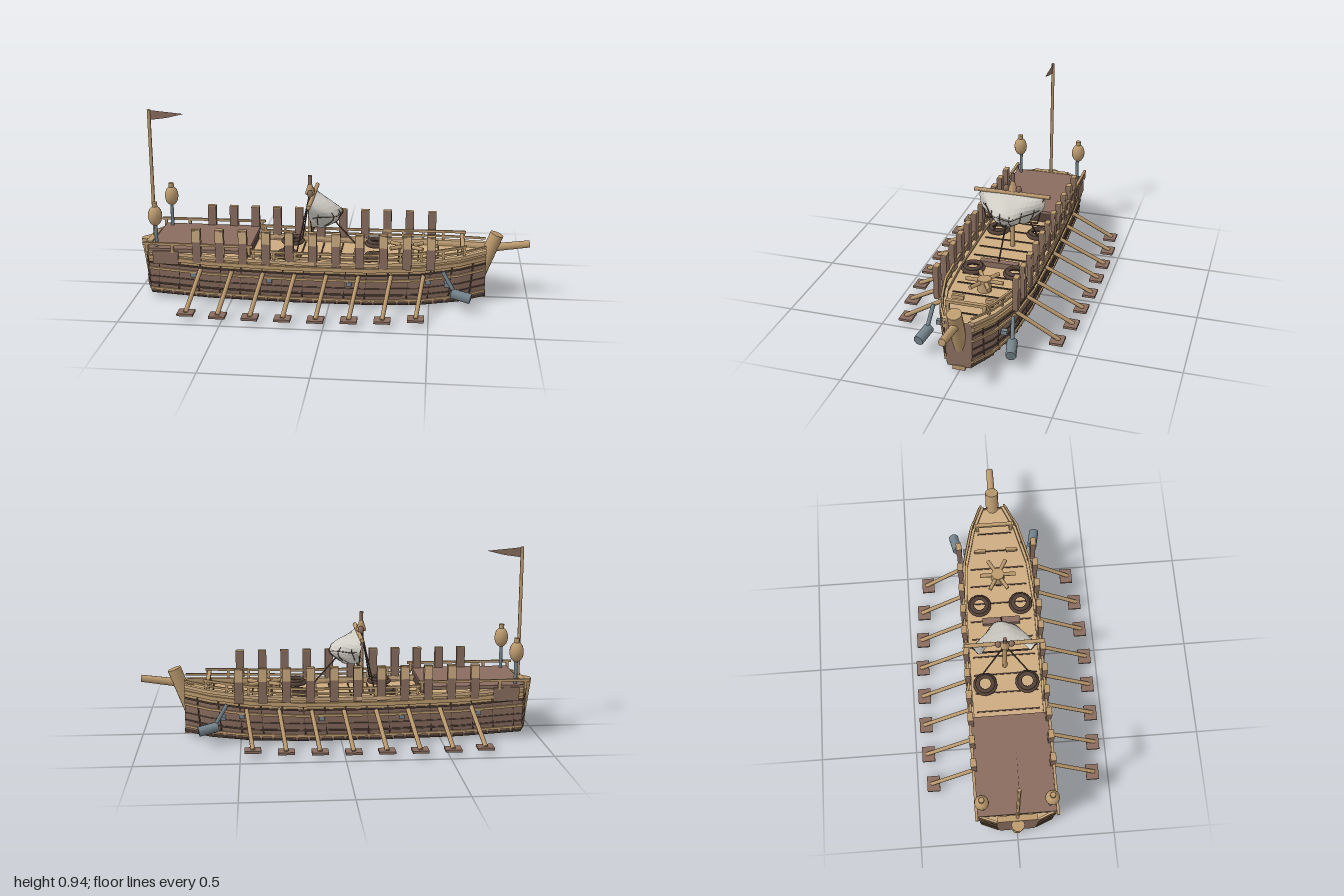
import * as THREE from 'three';

const paint = (name, color, side = THREE.FrontSide) => Object.assign(new THREE.MeshStandardMaterial({ color, side }), { name });

export function createModel() {
  const tan = paint('tanWood', 0xbb9a6e), deckWood = paint('deckWood', 0xccab80);
  const brown = paint('brownWood', 0x896c5e), dark = paint('darkWood', 0x55433a);
  const steel = paint('steel', 0x75848d), cloth = paint('sailCloth', 0xcfccc4, THREE.DoubleSide);
  const flagCloth = paint('pennantCloth', 0x896c5e, THREE.DoubleSide);
  const ship = new THREE.Group();
  ship.name = 'galley';
  const V = (x, y, z) => new THREE.Vector3(x, y, z);

  function add(name, geo, mat, x = 0, y = 0, z = 0) {
    const m = new THREE.Mesh(geo, mat);
    m.name = name;
    m.position.set(x, y, z);
    ship.add(m);
    return m;
  }
  const box = (name, mat, w, h, d, x, y, z) => add(name, new THREE.BoxGeometry(w, h, d), mat, x, y, z);
  // straight round bar between two points
  function rod(name, mat, a, b, r, r2 = r, sides = 8) {
    const d = b.clone().sub(a);
    const m = add(name, new THREE.CylinderGeometry(r2, r, d.length(), sides), mat);
    m.position.copy(a).addScaledVector(d, 0.5);
    m.quaternion.setFromUnitVectors(V(0, 1, 0), d.normalize());
    return m;
  }
  // skin a list of closed rings; slots gives the material index of each ring edge
  function loft(rings, slots, capSlot = 0) {
    const pos = [], bySlot = {};
    const tri = (s, ...p) => (bySlot[s] ??= []).push(...p);
    const n = rings[0].length;
    for (let i = 0; i < rings.length - 1; i++)
      for (let j = 0; j < n; j++) {
        const k = (j + 1) % n, a = rings[i][j], b = rings[i][k], c = rings[i + 1][k], d = rings[i + 1][j];
        tri(slots ? slots[j] : 0, a, b, c, a, c, d);
      }
    const first = rings[0], last = rings[rings.length - 1];
    for (let j = 1; j < n - 1; j++) {
      tri(capSlot, first[0], first[j + 1], first[j]);
      tri(capSlot, last[0], last[j], last[j + 1]);
    }
    const geo = new THREE.BufferGeometry();
    for (const s in bySlot) {
      geo.addGroup(pos.length / 3, bySlot[s].length, +s);
      bySlot[s].forEach(p => pos.push(p.x, p.y, p.z));
    }
    geo.setAttribute('position', new THREE.Float32BufferAttribute(pos, 3));
    geo.computeVertexNormals();
    return geo;
  }

  // hull stations: x, half width, keel height, sheer height
  const stations = [
    [-0.95, 0.1, 0.03, 0.262], [-0.915, 0.188, 0.022, 0.258], [-0.6, 0.198, 0.006, 0.235], [-0.2, 0.203, 0, 0.225],
    [0.2, 0.2, 0, 0.225], [0.45, 0.18, 0.004, 0.235], [0.65, 0.127, 0.013, 0.252], [0.78, 0.066, 0.027, 0.268]];
  const profile = [[0, 0.85], [0.08, 0.925], [0.4, 0.975], [0.75, 1], [1, 0.98]];
  const sample = (rows, v) => {
    let i = 0;
    while (i < rows.length - 2 && rows[i + 1][0] < v) i++;
    const f = (v - rows[i][0]) / (rows[i + 1][0] - rows[i][0]);
    return rows[i].map((q, k) => q + (rows[i + 1][k] - q) * f);
  };
  const side = (x, t) => {
    const [, w, lo, hi] = sample(stations, x);
    return V(x, lo + (hi - lo) * t, w * sample(profile, Math.min(t, 1))[1]);
  };
  const mirror = p => V(p.x, p.y, -p.z);
  const deckRow = 0.9;

  // hull shell with open-topped bulwark, deck and a hollow along the bottom that closes at both ends
  add('hull', loft(stations.map(([x, w, lo]) => {
    const half = [1, 0.76, 0.4, 0.08, 0].map(t => side(x, t));
    half.push(V(x, lo, w * 0.35), V(x, lo + (w > 0.11 ? 0.08 : 0), w * 0.3));
    const inner = side(x, 1), low = side(x, deckRow);
    inner.z -= 0.014; low.z -= 0.014;
    return [...half, ...half.map(mirror).reverse(), mirror(inner), mirror(low), low, inner];
  }), [0, 1, 1, 2, 2, 2, 1, 2, 2, 2, 1, 1, 0, 0, 0, 3, 0, 0], 1), [tan, brown, dark, deckWood]);

  // long timbers that follow the hull side
  function strake(name, mat, t, h, out, x0 = -0.95, x1 = 0.78, inset = 0.01) {
    const xs = [x0, ...stations.map(s => s[0]).filter(x => x > x0 && x < x1), x1];
    const rings = xs.map(x => {
      const p = side(x, t);
      return [[h, out], [-h, out], [-h, -inset], [h, -inset]].map(([dy, dz]) => V(x, p.y + dy, p.z + dz));
    });
    add(name, loft(rings), [mat]);
    add(name, loft(rings.map(r => r.map(mirror).reverse())), [mat]);
  }
  strake('bilgeWale', tan, 0.14, 0.006, 0.008);
  strake('lowerWale', dark, 0.27, 0.004, 0.006);
  strake('middleWale', dark, 0.43, 0.003, 0.005);
  strake('oarWale', tan, 0.62, 0.006, 0.009);
  strake('upperWale', dark, 0.75, 0.004, 0.007);
  strake('sheerWale', tan, 0.87, 0.01, 0.011);
  strake('gunwale', deckWood, 1, 0.008, 0.012, -0.95, 0.78, 0.018);
  strake('middleRail', tan, 1.11, 0.005, 0.004, -0.4, 0.78, 0.006);
  strake('handRail', tan, 1.22, 0.006, 0.004, -0.4, 0.68, 0.008);
  box('bowFoot', tan, 0.02, 0.022, 0.06, 0.775, 0.022, 0);

  for (const s of [1, -1]) {
    // rail stanchions, hull ribs, bilge ribs and inner frames
    for (let i = 0; i < 11; i++) {
      const x = -0.38 + i * 0.105, p = side(x, 1);
      box('stanchion', tan, 0.012, 0.05, 0.01, x, p.y + 0.025, s * (p.z - 0.002));
    }
    for (let i = 0; i < 16; i++) {
      const x = -0.86 + i * 0.105, a = side(x - 0.015, 0.1), b = side(x, 0.85);
      rod('rib', dark, V(a.x, a.y, s * a.z), V(b.x, b.y, s * b.z), 0.005, 0.005, 4);
    }
    for (let i = 0; i < 27; i++) {
      const x = -0.86 + i * 0.06, p = side(x, 0.08), [, w, lo] = sample(stations, x);
      box('bilgeRib', brown, 0.012, 0.02, 0.008, x, p.y, s * p.z);
      if (x < 0.6) rod('innerFrame', tan, V(x, lo + 0.006, s * w * 0.345), V(x, lo + 0.078, s * w * 0.3), 0.006, 0.006, 4);
    }
    // upright shield posts
    for (let i = 0; i < 11; i++) {
      const x = -0.665 + i * 0.117;
      box('shieldPost', brown, 0.043, 0.172, 0.026, x, 0.296, s * 0.197);
      box('shieldPostPlate', deckWood, 0.041, 0.06, 0.004, x, 0.35, s * 0.211);
      box('shieldPostCap', tan, 0.043, 0.004, 0.026, x, 0.384, s * 0.197);
    }
    // oars with flat blades
    [0.417, 0.435, 0.44, 0.44, 0.44, 0.43, 0.417, 0.385].forEach((z, i) => {
      const x = -0.68 + i * 0.16;
      rod('oar', tan, V(x + 0.03, 0.172, s * 0.185), V(x, 0.032, s * (z + 0.01)), 0.011, 0.011, 6);
      box('oarBlade', brown, 0.08, 0.012, 0.066, x, 0.027, s * z);
    });
    // metal port plates
    for (const x of [-0.687, -0.3, 0.1, 0.495]) {
      const p = side(x, 0.55);
      box('portPlate', steel, 0.027, 0.022, 0.01, x, p.y, s * (p.z + 0.006));
    }
    // hanging bow anchors
    rod('anchorShank', steel, V(0.565, 0.205, s * 0.198), V(0.63, 0.095, s * 0.213), 0.01);
    rod('anchorWeight', steel, V(0.61, 0.097, s * 0.208), V(0.705, 0.078, s * 0.228), 0.026, 0.026, 8);
    box('anchorBracket', steel, 0.025, 0.022, 0.03, 0.585, 0.125, s * 0.162);
    // stern lanterns
    rod('lanternPole', steel, V(-0.877, 0.25, s * 0.168), V(-0.877, 0.4, s * 0.168), 0.009);
    add('lantern', new THREE.SphereGeometry(0.036, 14, 10), tan, -0.877, 0.44, s * 0.172).scale.y = 1.45;
    rod('lanternCap', tan, V(-0.877, 0.485, s * 0.172), V(-0.877, 0.51, s * 0.172), 0.014);
    // stern rails and side lockers
    box('sternRail', tan, 0.56, 0.012, 0.014, -0.66, 0.302, s * 0.202);
    for (const x of [-0.92, -0.79, -0.53, -0.4]) box('sternRailPost', tan, 0.014, 0.045, 0.012, x, 0.28, s * 0.202);
    box('sternLocker', brown, 0.13, 0.07, 0.02, -0.825, 0.23, s * 0.197);
    // coiled ropes on deck
    for (const x of [-0.22, 0.22])
      for (let k = 0; k < 2; k++)
        add('ropeCoil', new THREE.TorusGeometry(0.052 - k * 0.012, 0.011, 6, 18), dark, x, 0.232 + k * 0.012, s * 0.11).rotation.x = Math.PI / 2;
    // mast shrouds and head blocks
    rod('shroud', dark, V(-0.115, 0.53, 0), V(-0.17, 0.25, s * 0.12), 0.004, 0.004, 5);
    add('mastBlock', new THREE.SphereGeometry(0.016, 8, 6), brown, -0.11, 0.533, s * 0.034).scale.y = 1.35;
    rod('yardLine', dark, V(-0.1, 0.51, s * 0.17), V(-0.09, 0.365, s * 0.14), 0.003, 0.003, 5);
    box('foreCleat', tan, 0.016, 0.02, 0.06, 0.53, 0.245, s * 0.085);
    box('bowBeamPost', tan, 0.016, 0.06, 0.016, 0.66, 0.265, s * 0.09);
  }

  // raised stern platform
  box('sternPlatform', brown, 0.51, 0.018, 0.4, -0.66, 0.268, 0);
  box('platformFront', dark, 0.012, 0.06, 0.36, -0.42, 0.23, 0);
  box('sternBeam', tan, 0.03, 0.03, 0.2, -0.935, 0.262, 0);
  rod('sternPost', tan, V(-0.94, 0.01, 0), V(-0.967, 0.265, 0), 0.028, 0.034, 10);

  // deck seams, hatch and bow cross rail
  for (let i = 0; i < 11; i++) {
    const x = -0.36 + i * 0.1, p = side(x, deckRow);
    box('deckSeam', dark, 0.007, 0.008, 2 * p.z - 0.07, x, p.y + 0.001, 0);
  }
  box('hatch', brown, 0.035, 0.03, 0.2, 0.13, 0.22, 0);
  box('bowBeam', tan, 0.02, 0.014, 0.2, 0.66, 0.296, 0);

  // capstan with six bars
  rod('capstan', tan, V(0.38, 0.2, 0), V(0.38, 0.275, 0), 0.036, 0.034, 12);
  for (let i = 0; i < 6; i++) {
    const a = i * Math.PI / 3 + 0.52;
    rod('capstanBar', tan, V(0.38, 0.262, 0), V(0.38 + 0.095 * Math.cos(a), 0.262, 0.095 * Math.sin(a)), 0.011, 0.011, 6);
  }

  // bow stem and bowsprit
  rod('stemPost', tan, V(0.748, 0.12, 0), V(0.832, 0.342, 0), 0.035, 0.035, 12);
  rod('bowsprit', tan, V(0.78, 0.265, 0), V(0.998, 0.295, 0), 0.021, 0.018, 10);

  // mast, yard and rigging
  rod('mast', tan, V(-0.115, 0.2, 0), V(-0.115, 0.57, 0), 0.013, 0.011);
  rod('mastCollar', tan, V(-0.115, 0.525, 0), V(-0.115, 0.575, 0), 0.026, 0.011);
  rod('mastHead', brown, V(-0.115, 0.56, 0), V(-0.115, 0.622, 0), 0.01);
  rod('yard', tan, V(-0.1, 0.515, -0.202), V(-0.1, 0.515, 0.202), 0.011);
  rod('boom', dark, V(-0.09, 0.365, -0.142), V(-0.09, 0.365, 0.142), 0.005, 0.005, 6);
  rod('forestay', dark, V(-0.115, 0.53, 0), V(0.14, 0.24, 0), 0.004, 0.004, 5);

  // billowing, creased sail with reef ropes
  const sailAt = (u, v, lift = 0) => V(
    -0.1 + lift + 0.15 * Math.pow(Math.max(0, Math.cos(u * Math.PI / 2)), 1.3) * Math.sin(Math.PI * Math.pow(v, 0.85) * 0.83) + 0.012 * Math.sin(u * 9 + v * 7) * v,
    0.512 - v * (0.152 - 0.035 * u * u) + 0.005 * Math.sin(u * 11) * v,
    u * (0.172 + 0.02 * Math.sin(v * Math.PI) - 0.04 * v));
  const sail = new THREE.PlaneGeometry(2, 1, 16, 8), sp = sail.attributes.position;
  for (let i = 0; i < sp.count; i++) sp.setXYZ(i, ...sailAt(sp.getX(i), 0.5 - sp.getY(i)).toArray());
  const sailFlat = sail.toNonIndexed();
  sailFlat.computeVertexNormals();
  add('sail', sailFlat, cloth);
  const rope = f => add('sailRope', new THREE.TubeGeometry(new THREE.CatmullRomCurve3(
    Array.from({ length: 11 }, (_, i) => f(i / 10))), 20, 0.002, 4), dark);
  for (const u of [-0.75, -0.45, -0.15, 0.15, 0.45, 0.75]) rope(t => sailAt(u, 0.4 + t * 0.5, 0.002));
  rope(t => sailAt(t * 1.8 - 0.9, 0.55, 0.002));

  // stern flagpole and pennant
  rod('flagpole', tan, V(-0.93, 0.26, 0), V(-0.93, 0.943, 0), 0.009, 0.009, 6);
  const pennant = new THREE.Shape([[-0.925, 0.94], [-0.925, 0.89], [-0.84, 0.902], [-0.752, 0.924]].map(([x, y]) => new THREE.Vector2(x, y)));
  add('pennant', new THREE.ShapeGeometry(pennant), flagCloth);

  return ship;
}
